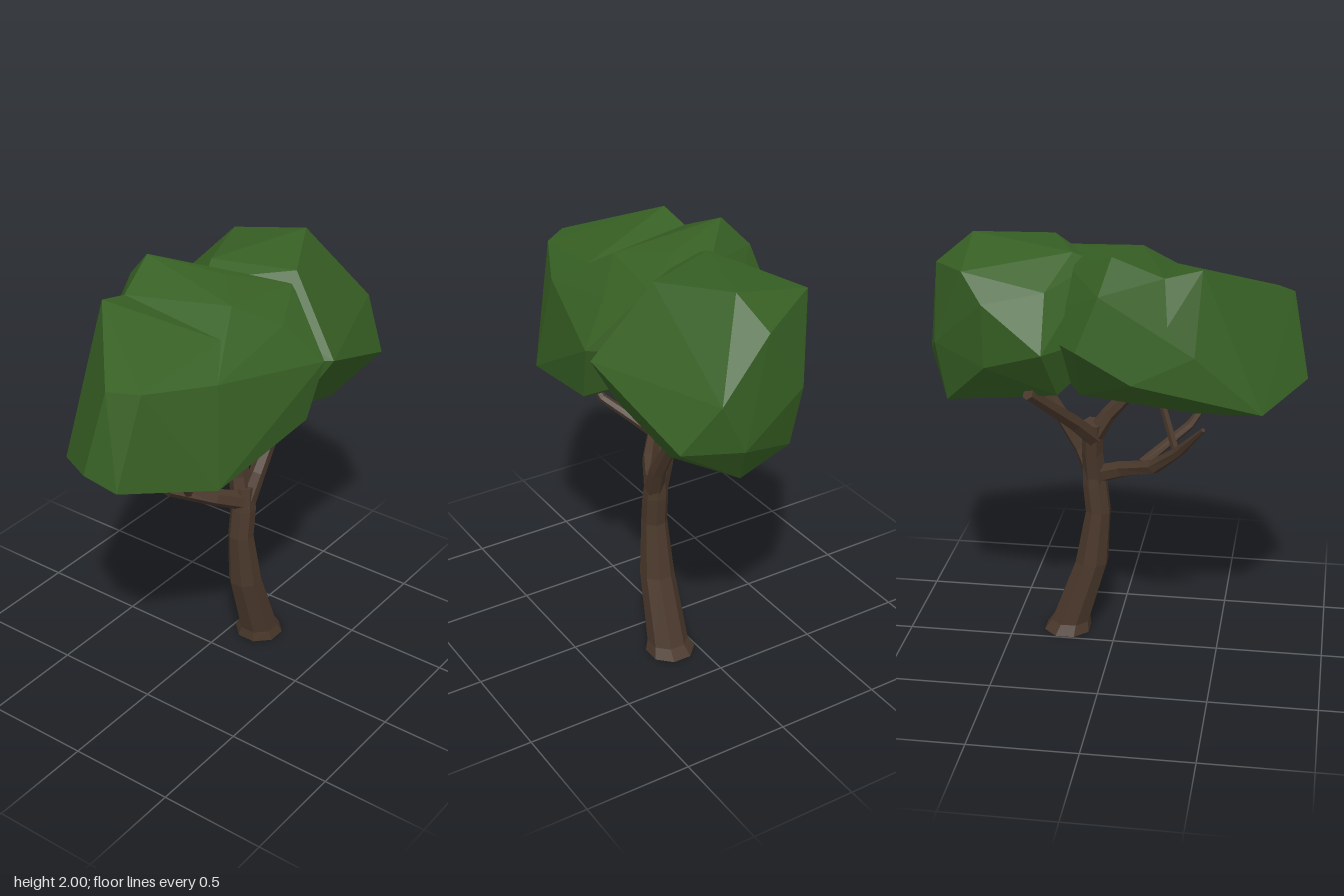
import * as THREE from 'three';
import { ConvexGeometry } from 'three/addons/geometries/ConvexGeometry.js';

const bark = new THREE.MeshStandardMaterial({ color: 0x4a382b, flatShading: true });
bark.name = 'bark brown';
const leaf = new THREE.MeshStandardMaterial({ color: 0x376024, flatShading: true });
leaf.name = 'leaf green';

// Tapered faceted limb through rings [x, y, z, radius], capped at both ends
function limb(name, rings, sides, level = false) {
  const pts = rings.map(r => new THREE.Vector3(r[0], r[1], r[2]));
  const pos = [], idx = [];
  pts.forEach((p, i) => {
    const dir = pts[Math.min(i + 1, pts.length - 1)].clone().sub(pts[Math.max(i - 1, 0)]).normalize();
    if (level) dir.set(0, 1, 0);
    const u = new THREE.Vector3(1, 0, 0).addScaledVector(dir, -dir.x).normalize();
    const v = new THREE.Vector3().crossVectors(dir, u);
    for (let k = 0; k < sides; k++) {
      const a = (k + 0.5) / sides * Math.PI * 2;
      const q = p.clone().addScaledVector(u, Math.cos(a) * rings[i][3]).addScaledVector(v, Math.sin(a) * rings[i][3]);
      pos.push(q.x, q.y, q.z);
    }
  });
  for (let i = 0; i < pts.length - 1; i++) {
    for (let k = 0; k < sides; k++) {
      const a = i * sides + k, b = i * sides + (k + 1) % sides;
      idx.push(a, b, b + sides, a, b + sides, a + sides);
    }
  }
  const top = (pts.length - 1) * sides;
  for (let k = 1; k < sides - 1; k++) idx.push(0, k + 1, k, top, top + k, top + k + 1);
  const geo = new THREE.BufferGeometry();
  geo.setAttribute('position', new THREE.Float32BufferAttribute(pos, 3));
  geo.setIndex(idx);
  geo.computeVertexNormals();
  const mesh = new THREE.Mesh(geo, bark);
  mesh.name = name;
  return mesh;
}

// Faceted clump of leaves wrapped around its corner points
function clump(name, corners) {
  const mesh = new THREE.Mesh(new ConvexGeometry(corners.map(c => new THREE.Vector3(...c))), leaf);
  mesh.name = name;
  return mesh;
}

export function createModel() {
  const tree = new THREE.Group();
  tree.name = 'tree';

  // Leaning trunk with a flared foot
  tree.add(limb('trunk', [
    [0.117, 0, -0.24, 0.117], [0.122, 0.05, -0.225, 0.096], [0.115, 0.37, -0.12, 0.081],
    [0.11, 0.64, -0.087, 0.061], [0.112, 0.78, -0.102, 0.06], [0.11, 0.9, -0.11, 0.05],
  ], 8, true));

  // Branches
  tree.add(
    limb('middleFork', [[0.11, 0.8, -0.1, 0.055], [0.08, 0.95, -0.11, 0.05], [0.05, 1.11, -0.1, 0.05]], 6),
    limb('forwardFork', [[0.06, 1.04, -0.1, 0.045], [0.06, 1.15, -0.03, 0.036], [0.06, 1.34, 0.14, 0.03]], 6),
    limb('backwardFork', [[0.06, 1.03, -0.1, 0.045], [-0.05, 1.14, -0.17, 0.038], [-0.32, 1.37, -0.33, 0.028]], 6),
    limb('rearBranch', [[0.12, 0.8, -0.1, 0.048], [0.14, 0.95, -0.17, 0.039], [0.16, 1.38, -0.44, 0.024]], 6),
    limb('frontBranch', [[0.11, 0.83, -0.08, 0.045], [0.05, 0.885, 0.04, 0.041], [-0.08, 0.96, 0.2, 0.035],
      [-0.18, 1.08, 0.32, 0.025], [-0.31, 1.24, 0.44, 0.01]], 6),
    limb('frontSideBranch', [[-0.03, 0.95, 0.14, 0.026], [0.13, 1.09, 0.34, 0.021], [0.19, 1.24, 0.45, 0.01]], 6),
    limb('twig', [[-0.17, 1.07, 0.31, 0.018], [-0.13, 1.32, 0.23, 0.016]], 5),
  );

  // Corners where the front and middle clumps meet
  const seam = [
    [-0.27, 1.9, 0.26], [0.24, 1.83, 0.25], [0.34, 1.72, 0.41], [-0.36, 1.58, 0.4],
    [-0.46, 1.48, 0.14], [0.4, 1.27, 0.48], [0.07, 1.18, 0.53], [-0.27, 1.3, 0.4], [0.32, 1.24, 0.14],
  ];
  tree.add(
    clump('frontFoliage', [...seam,
      [-0.26, 1.94, 0.42], [0.07, 1.77, 0.8], [0.19, 1.76, 0.72], [0, 1.39, 0.875],
      [0.15, 1.34, 0.845], [-0.26, 1.3, 0.69],
    ]),
    // The last corners of the next two clumps are buried in each other
    clump('middleFoliage', [...seam,
      [-0.32, 2, 0.04], [-0.45, 1.86, 0], [-0.505, 1.63, -0.09], [0.01, 1.95, -0.08], [0.19, 1.92, 0.11],
      [0.34, 1.81, -0.06], [0.49, 1.64, -0.16], [0.46, 1.38, -0.08], [-0.3, 1.37, -0.1], [0.1, 1.38, -0.08],
      [0.24, 1.9, -0.27], [-0.12, 1.9, -0.18], [0, 1.6, -0.45],
    ]),
    clump('rearFoliage', [
      [0.06, 1.99, -0.64], [0.22, 1.79, -0.62], [0, 1.86, -0.8], [0.27, 1.63, -0.87], [0.16, 1.4, -0.88],
      [0.41, 1.41, -0.78], [0.5, 1.62, -0.22], [0.36, 1.75, -0.27], [0.24, 1.95, -0.3], [-0.12, 1.96, -0.16],
      [-0.32, 1.91, -0.61], [-0.2, 1.55, -0.77], [-0.4, 1.79, -0.51], [-0.38, 1.5, -0.51], [-0.48, 1.6, -0.24],
      [-0.32, 1.83, -0.25], [0.1, 1.2, -0.76], [-0.17, 1.27, -0.73], [0.3, 1.25, -0.53], [-0.25, 1.36, -0.5],
      [-0.32, 1.37, -0.2], [0.35, 1.37, -0.17], [-0.08, 1.91, -0.06], [0, 1.6, 0.1],
    ]),
  );
  return tree;
}
